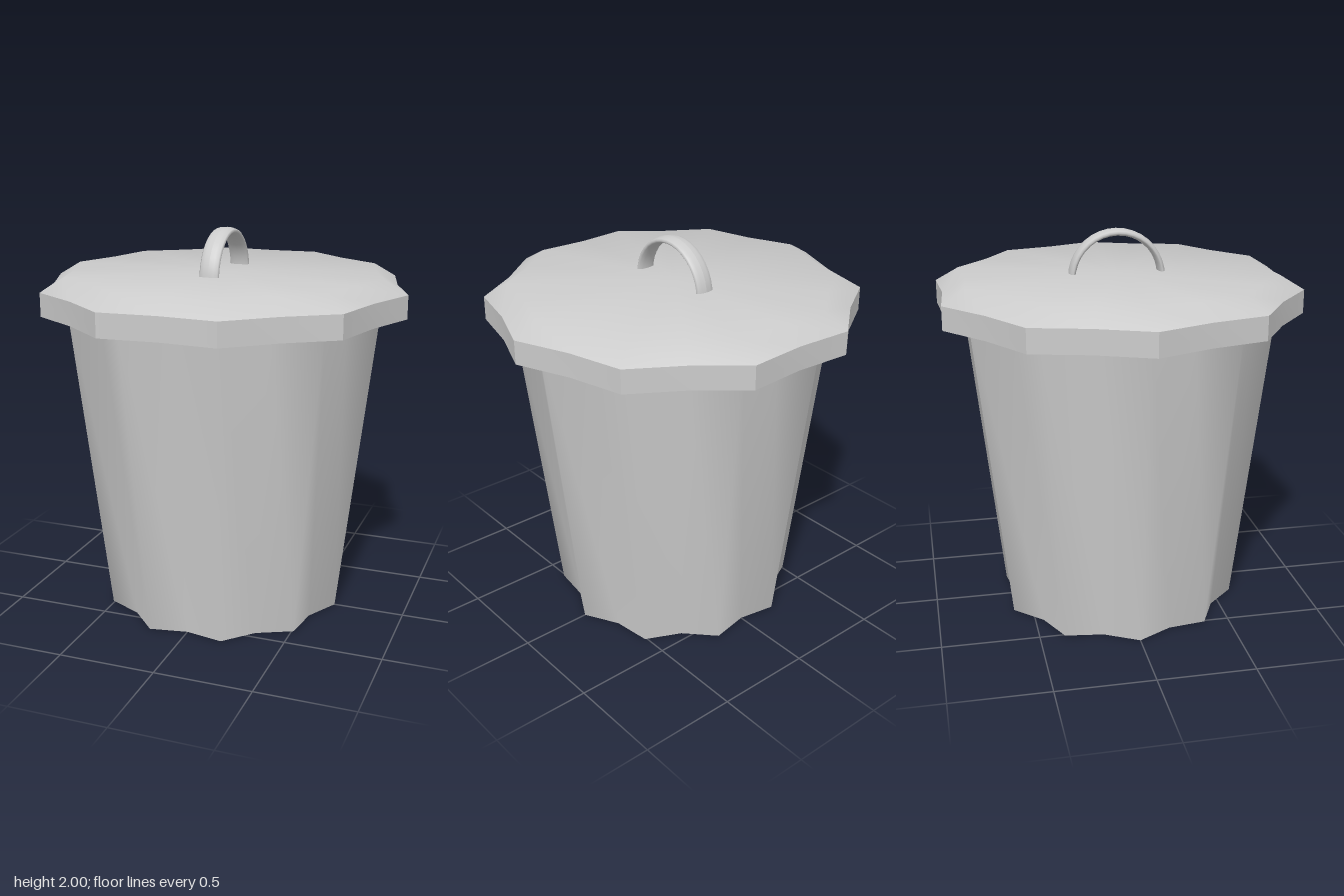
import * as THREE from 'three';
import { toCreasedNormals } from 'three/addons/utils/BufferGeometryUtils.js';

const POINTS = 10; // scallop tips around the rim

// Lathe a profile (bottom centre to top centre), pulling every second column inward
function scalloped(profile, valley, creaseDegrees) {
  const pts = profile.map(([r, y]) => new THREE.Vector2(r, y));
  const geo = new THREE.LatheGeometry(pts, POINTS * 2, Math.PI / 2);
  const pos = geo.attributes.position;
  for (let i = 0; i < pos.count; i++) {
    if (Math.floor(i / pts.length) % 2 === 1) {
      pos.setX(i, pos.getX(i) * valley);
      pos.setZ(i, pos.getZ(i) * valley);
    }
  }
  return toCreasedNormals(geo, THREE.MathUtils.degToRad(creaseDegrees));
}

export function createModel() {
  const group = new THREE.Group();
  group.name = 'trashCan';
  const material = new THREE.MeshStandardMaterial({ color: 0xcccccc, side: THREE.DoubleSide });

  const add = (name, geometry) => {
    const mesh = new THREE.Mesh(geometry, material);
    mesh.name = name;
    group.add(mesh);
    return mesh;
  };

  // Tapered bin with fluted, smooth sides
  add('bin', scalloped([[0, 0], [0.63, 0], [0.824, 1.67], [0, 1.67]], 0.895, 62));

  // Bevelled lid with a thin skirt that hangs over the bin
  add('lid', scalloped([
    [0, 1.675], [0.94, 1.675], [0.94, 1.59], [0.95, 1.59],
    [0.95, 1.71], [0.83, 1.78], [0, 1.78],
  ], 0.931, 40));

  // Flattened half-ring handle running front to back
  const handle = new THREE.TorusGeometry(0.232, 0.018, 12, 18, Math.PI);
  handle.rotateY(Math.PI / 2);
  handle.scale(0.052 / 0.018, 1, 1);
  handle.translate(0, 1.75, 0);
  handle.computeVertexNormals();
  add('handle', handle);

  return group;
}
